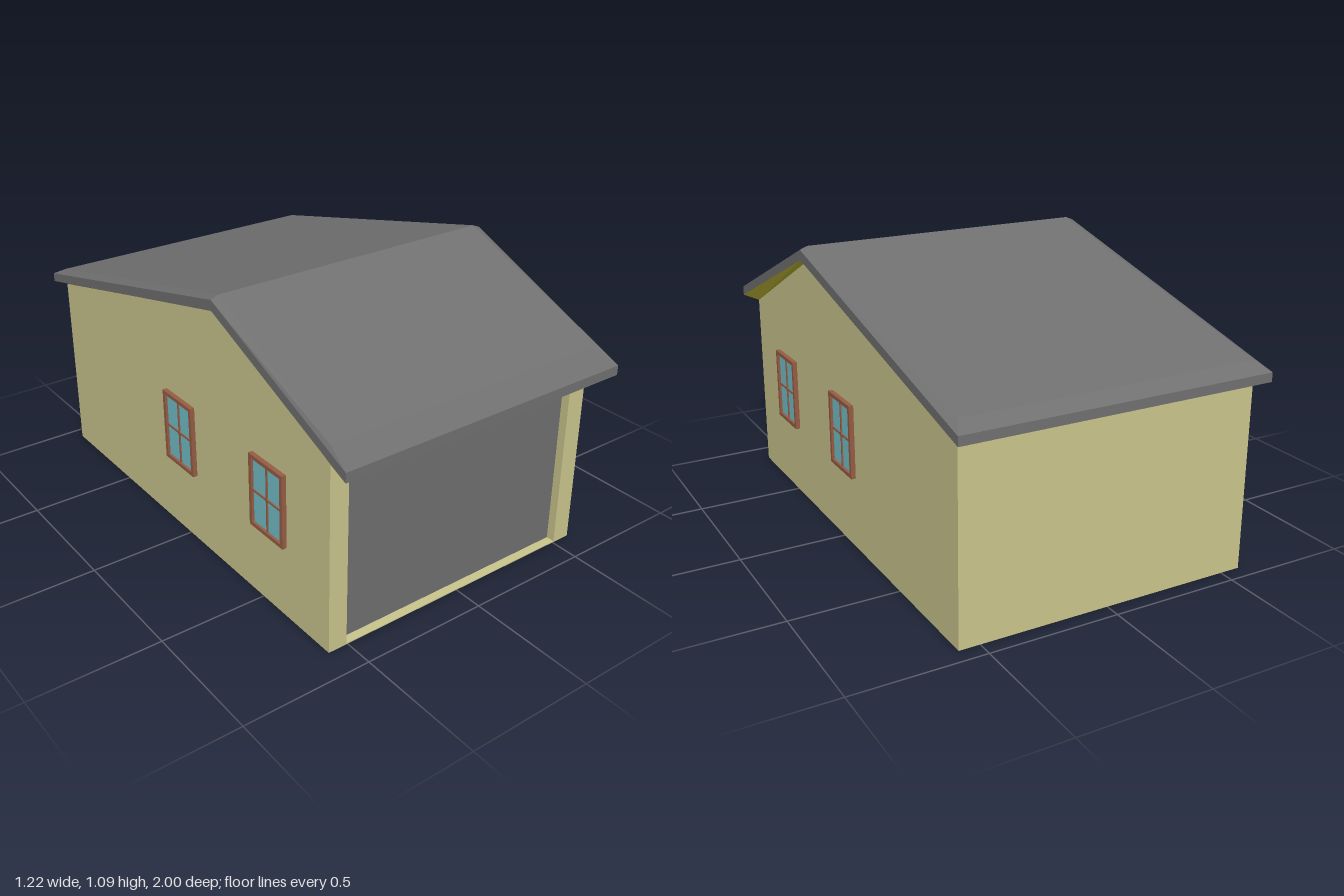
import * as THREE from 'three';

const mat = (name, color) => {
  const m = new THREE.MeshStandardMaterial({ color });
  m.name = name;
  return m;
};

export function createModel() {
  const group = new THREE.Group();
  group.name = 'garage';
  const wall = mat('wall cream', 0xcac58c);
  const roofGrey = mat('roof grey', 0x707070);
  const doorGrey = mat('door grey', 0x6f6f6f);
  const yellow = mat('soffit yellow', 0xbdb534);
  const brown = mat('wood brown', 0x965c43);
  const glassBlue = mat('glass blue', 0x74c0cb);

  const add = (name, geometry, material, parent = group) => {
    const mesh = new THREE.Mesh(geometry, material);
    mesh.name = name;
    parent.add(mesh);
    return mesh;
  };
  const box = (name, w, h, d, x, y, z, material, parent) =>
    add(name, new THREE.BoxGeometry(w, h, d), material, parent).position.set(x, y, z);

  // Walls: gable profiles in (z, y), extruded across x
  const slice = (name, profile, x0, x1) => {
    const shape = new THREE.Shape(profile.map(([z, y]) => new THREE.Vector2(z, y)));
    const geo = new THREE.ExtrudeGeometry(shape, { depth: x1 - x0, bevelEnabled: false });
    geo.rotateY(-Math.PI / 2).translate(x1, 0, 0);
    add(name, geo, wall);
  };
  const gable = [[0.885, 0.735], [0.265, 1.035], [-0.94, 0.735], [-0.94, 0]];
  const notch = [[0.885, 0], [0.885, 0.004], [0.845, 0.004], [0.845, 0.69], [0.885, 0.69]];
  slice('rightWall', [[0.885, 0], ...gable], -0.58, -0.505);
  slice('leftWall', [[0.885, 0], ...gable], 0.505, 0.58);
  slice('middleWalls', [...notch, ...gable], -0.505, 0.505);

  // Garage door, recessed in the front opening
  box('garageDoor', 1.01, 0.686, 0.008, 0, 0.347, 0.847, doorGrey);

  // Roof: rings of six corners, counterclockwise from above
  const ring = (x, front, ridge, back) => [
    [x, ...front], [x, ...ridge], [x, ...back],
    [-x, ...back], [-x, ...ridge], [-x, ...front],
  ].map(([px, z, y]) => new THREE.Vector3(px, y, z));
  const wallTop = ring(0.58, [0.885, 0.735], [0.265, 1.035], [-0.94, 0.735]);
  const edgeLow = ring(0.61, [1, 0.735], [0.265, 1.04], [-1, 0.735]);
  const edgeTop = ring(0.61, [1, 0.772], [0.265, 1.08], [-1, 0.77]);
  const crown = ring(0.58, [0.885, 0.805], [0.265, 1.092], [-0.94, 0.802]);

  const quads = (list) => {
    const points = list.flatMap(([a, b, c, d]) => [a, b, c, a, c, d]);
    const geo = new THREE.BufferGeometry().setFromPoints(points);
    geo.computeVertexNormals();
    return geo;
  };
  const strip = (low, high, i) => {
    const j = (i + 1) % 6;
    return [low[i], low[j], high[j], high[i]];
  };
  const all = [0, 1, 2, 3, 4, 5];
  add('roof', quads([
    ...all.map((i) => strip(edgeLow, edgeTop, i)),
    ...all.map((i) => strip(edgeTop, crown, i)),
    [crown[0], crown[1], crown[4], crown[5]],
    [crown[1], crown[2], crown[3], crown[4]],
  ]), roofGrey);

  // Soffits under the overhang
  add('frontRakeSoffits', quads([0, 4].map((i) => strip(wallTop, edgeLow, i))), yellow);
  add('eaveSoffits', quads([2, 5].map((i) => strip(wallTop, edgeLow, i))), wall);
  const upper = [], lower = [];
  for (const [i, t0, t1] of [[1, 0, 0.47], [3, 0.53, 1]]) {
    const part = (s, e) => {
      const at = (r, t) => r[i].clone().lerp(r[i + 1], t);
      return [at(wallTop, s), at(wallTop, e), at(edgeLow, e), at(edgeLow, s)];
    };
    upper.push(part(t0, t1));
    lower.push(i === 1 ? part(t1, 1) : part(0, t0));
  }
  add('upperRearRakeSoffits', quads(upper), wall);
  add('lowerRearRakeSoffits', quads(lower), brown);

  // Windows: built facing +z, then turned to face out of each side wall
  const W = 0.198, H = 0.288, B = 0.015;
  const frameShape = new THREE.Shape([[-1, -1], [1, -1], [1, 1], [-1, 1]]
    .map(([x, y]) => new THREE.Vector2(x * W / 2, y * H / 2)));
  frameShape.holes.push(new THREE.Path([[-1, -1], [-1, 1], [1, 1], [1, -1]]
    .map(([x, y]) => new THREE.Vector2(x * (W / 2 - B), y * (H / 2 - B)))));
  const frameGeo = new THREE.ExtrudeGeometry(frameShape, { depth: 0.018, bevelEnabled: false });
  for (const side of [-1, 1]) {
    for (const z of [0.547, -0.031]) {
      const win = new THREE.Group();
      win.name = side > 0 ? 'leftWindow' : 'rightWindow';
      add('windowFrame', frameGeo, brown, win);
      box('windowGlass', W - 2 * B, H - 2 * B, 0.006, 0, 0, 0.005, glassBlue, win);
      box('uprightBar', 0.007, H - 2 * B, 0.008, 0, 0, 0.009, brown, win);
      box('crossBar', W - 2 * B, 0.007, 0.008, 0, 0, 0.009, brown, win);
      const boss = add('barJoint', new THREE.BoxGeometry(0.016, 0.016, 0.009), brown, win);
      boss.position.z = 0.009;
      boss.rotation.z = Math.PI / 4;
      win.position.set(side * 0.58, 0.434, z);
      win.rotation.y = side * Math.PI / 2;
      group.add(win);
    }
  }
  return group;
}
